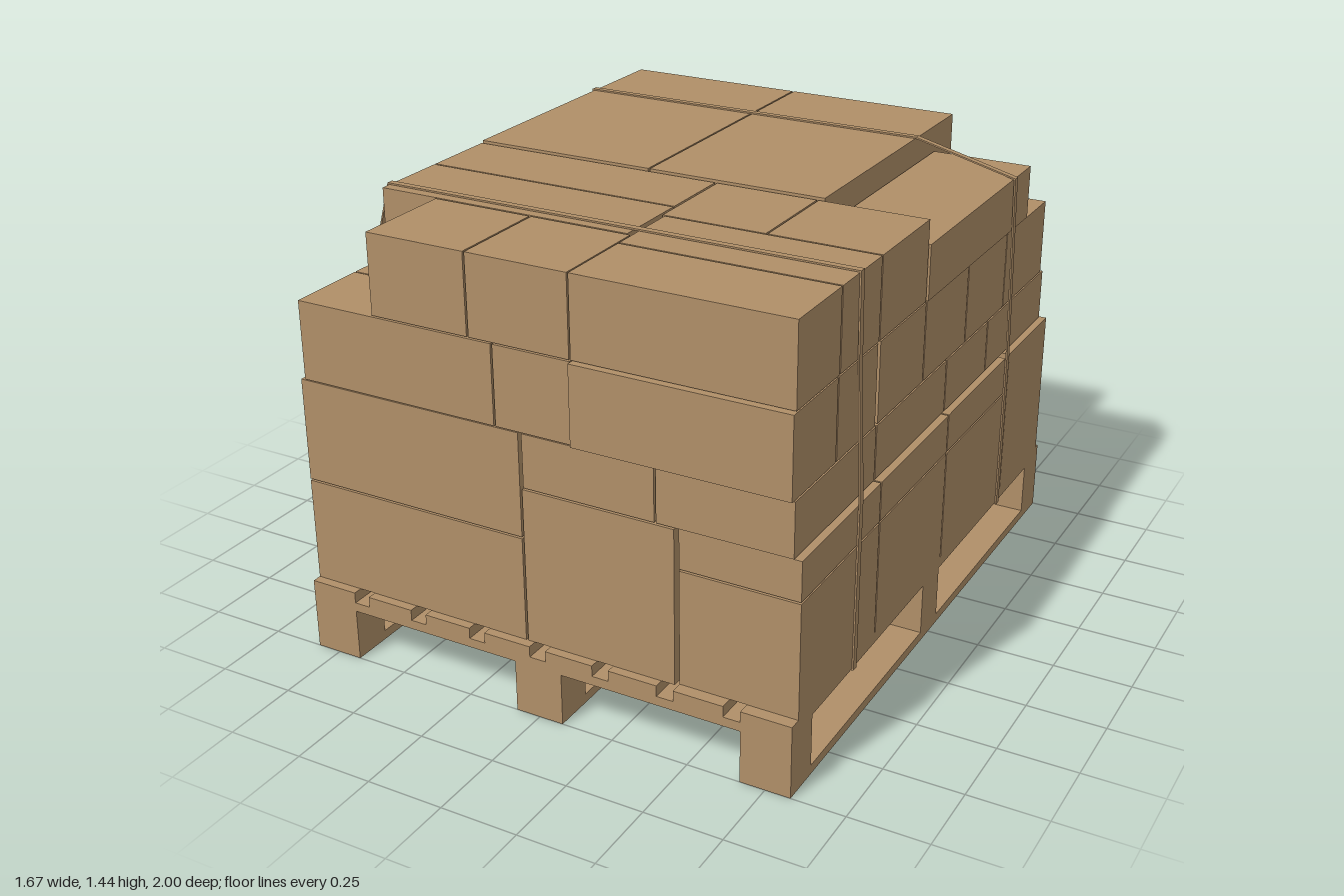
import * as THREE from 'three';

const tan = new THREE.MeshStandardMaterial({ color: 0xb08f68 });
const GAP = 0.003;

// Box given by its limits on each axis
function block(parent, name, [x0, x1], [y0, y1], [z0, z1]) {
  const mesh = new THREE.Mesh(new THREE.BoxGeometry(x1 - x0, y1 - y0, z1 - z0), tan);
  mesh.position.set((x0 + x1) / 2, (y0 + y1) / 2, (z0 + z1) / 2);
  mesh.name = name;
  parent.add(mesh);
}

function makePallet() {
  const pallet = new THREE.Group();
  pallet.name = 'pallet';
  const feetX = [-0.75, 0, 0.75].map((x) => [x - 0.08, x + 0.08]);
  const feetZ = [-0.935, 0, 0.935].map((z) => [z - 0.065, z + 0.065]);
  for (const x of feetX) {
    block(pallet, 'runner', x, [0, 0.03], [-1, 1]);
    for (const z of feetZ) block(pallet, 'spacerBlock', x, [0.03, 0.17], z);
  }
  for (const z of feetZ) block(pallet, 'crossBoard', [-0.83, 0.83], [0.17, 0.2], z);
  // Eight deck boards along the depth
  for (let i = 0; i < 8; i++) {
    const x = -0.75 + i * (1.5 / 7);
    block(pallet, 'deckBoard', [x - 0.08, x + 0.08], [0.2, 0.235], [-1, 1]);
  }
  return pallet;
}

// Rows of cartons between the dividing lines on each axis, with narrow gaps
function cartons(tier, xs, ys, zs) {
  const spans = (edges) => edges.slice(1).map((end, i) => [
    edges[i] + (i > 0 ? GAP : 0), end - (i < edges.length - 2 ? GAP : 0)]);
  for (const x of spans(xs)) {
    for (const y of spans(ys)) {
      for (const z of spans(zs)) block(tier, 'carton', x, y, z);
    }
  }
}

function makeTier(model, name) {
  const tier = new THREE.Group();
  tier.name = name;
  model.add(tier);
  return tier;
}

function stackLowerTiers(model) {
  const bottom = makeTier(model, 'bottomTier');
  const full = [0.235, 0.735];
  cartons(bottom, [-0.05, 0.445], full, [-0.607, 0.458, 0.97]);
  cartons(bottom, [-0.05, 0.445, 0.83], full, [-0.98, -0.613]);
  cartons(bottom, [0.455, 0.83], [0.235, 0.606, 0.735], [-0.575, -0.075, 0.441, 0.96]);
  // Wide pair at the front left, tall pair behind it
  cartons(bottom, [-0.83, -0.057], [0.235, 0.576, 0.912], [0.46, 0.97]);
  cartons(bottom, [-0.74, -0.06], [0.235, 0.912], [-0.89, -0.22, 0.45]);

  const second = makeTier(model, 'secondTier');
  const height = [0.741, 0.912];
  cartons(second, [-0.045, 0.386, 0.81], height, [-0.96, -0.439]);
  cartons(second, [-0.045, 0.386, 0.81], height, [0.45, 0.97]);
  cartons(second, [-0.045, 0.386], height, [-0.433, 0.444]);
  cartons(second, [0.392, 0.81], height, [-0.433, -0.084, 0.444]);
}

function stackUpperTiers(model) {
  const third = makeTier(model, 'thirdTier');
  const height = [0.918, 1.17];
  cartons(third, [-0.81, -0.13, 0.125], height, [0.71, 0.975]);
  cartons(third, [-0.81, 0.125], height, [0.455, 0.705]);
  cartons(third, [0.13, 0.81], height, [0.46, 0.719, 0.99]);
  cartons(third, [0.13, 0.81], height, [-0.565, -0.231, 0.109, 0.442]);
  cartons(third, [0.07, 0.44], height, [-0.955, -0.57]);
  cartons(third, [0.447, 0.81], height, [-0.935, -0.57]);
  cartons(third, [-0.74, -0.403, 0.065], height, [-0.895, -0.217]);
  cartons(third, [-0.74, 0.125], height, [-0.211, 0.45]);

  const top = makeTier(model, 'topTier');
  const topHeight = [1.175, 1.428];
  cartons(top, [-0.54, -0.208, 0.125], topHeight, [0.642, 0.975]);
  cartons(top, [-0.74, 0.112], topHeight, [0.116, 0.37, 0.635]);
  cartons(top, [0.13, 0.81], topHeight, [0.455, 0.712, 0.975]);
  cartons(top, [0.12, 0.455, 0.81], topHeight, [0.116, 0.449]);
  // Long cartons at the back, with a lower one on the left side
  cartons(top, [-0.74, -0.122, 0.475], [1.175, 1.435], [-0.9, 0.11]);
  cartons(top, [0.48, 0.815], [1.175, 1.35], [-0.735, 0.11]);
}

// Flat strap following a closed path of x, y points
function strap(z, path) {
  const group = new THREE.Group();
  group.name = 'strap';
  path.forEach(([x0, y0], i) => {
    const [x1, y1] = path[(i + 1) % path.length];
    const band = new THREE.Mesh(
      new THREE.BoxGeometry(Math.hypot(x1 - x0, y1 - y0) + 0.004, 0.005, 0.022), tan);
    band.position.set((x0 + x1) / 2, (y0 + y1) / 2, z);
    band.rotation.z = Math.atan2(y1 - y0, x1 - x0);
    band.name = 'strapBand';
    group.add(band);
  });
  return group;
}

export function createModel() {
  const model = new THREE.Group();
  model.name = 'loadedPallet';
  model.add(makePallet());
  stackLowerTiers(model);
  stackUpperTiers(model);

  // Front and rear straps around load and deck
  model.add(strap(0.594, [
    [-0.833, 0.198], [0.833, 0.198], [0.834, 0.74], [0.816, 1.18], [0.812, 1.432],
    [-0.742, 1.432], [-0.815, 1.175], [-0.835, 0.915],
  ]));
  model.add(strap(-0.582, [
    [-0.833, 0.198], [0.833, 0.198], [0.834, 0.74], [0.82, 1.352],
    [0.478, 1.439], [-0.742, 1.439],
  ]));
  return model;
}
